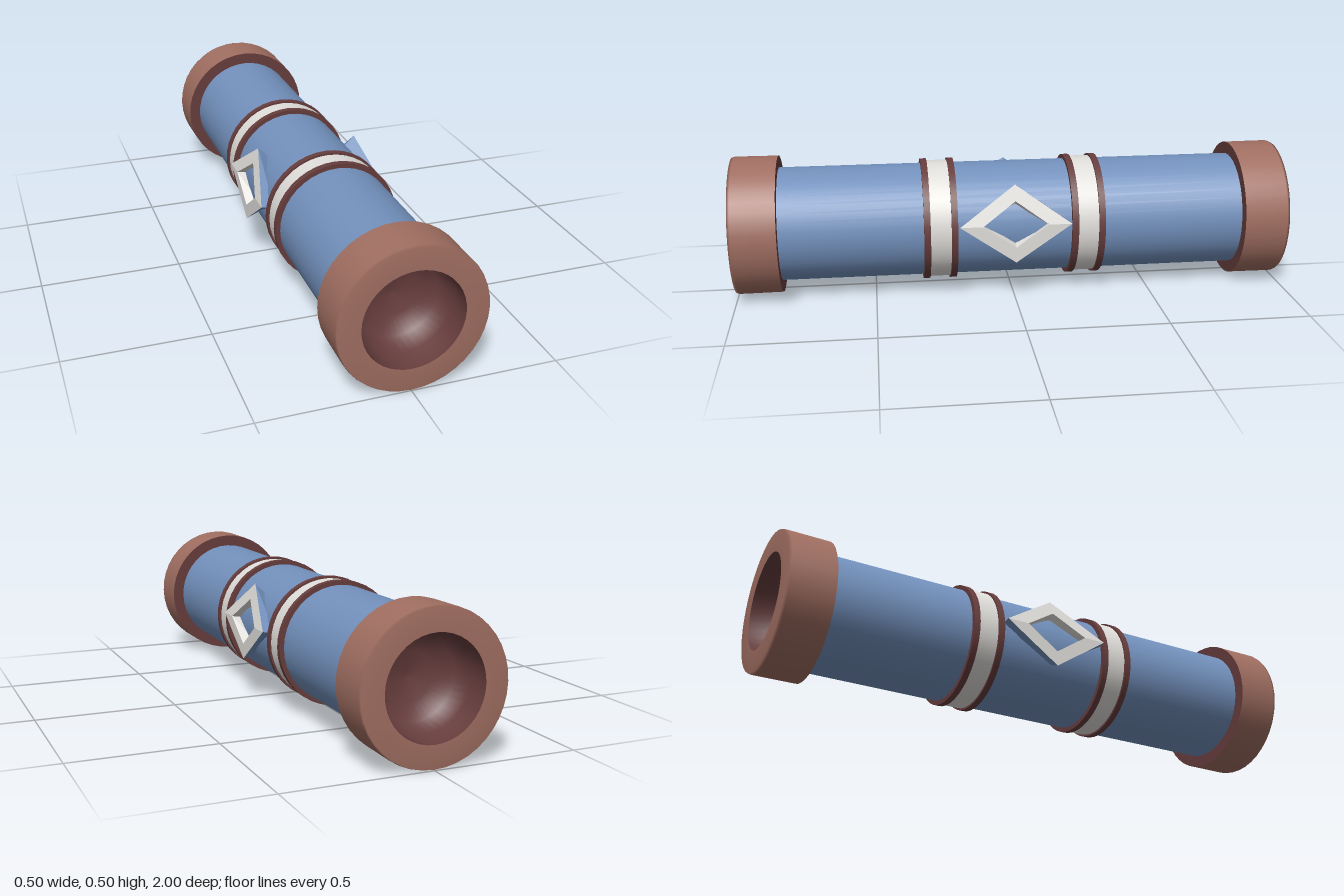
import * as THREE from 'three';

export function createModel() {
  const mat = (name, color, side = THREE.FrontSide) => {
    const m = new THREE.MeshStandardMaterial({ color, side });
    m.name = name;
    return m;
  };
  const blue = mat('steel blue', 0x7391bd);
  const brown = mat('clay brown', 0xa06e61);
  const darkRed = mat('dark red', 0x673d3d);
  const white = mat('off white', 0xe0deda);

  const model = new THREE.Group();
  model.name = 'pipe';
  const AXIS = 0.25;

  // Surface turned around the z axis; points are [radius, z]
  const turned = (name, points, material, parent) => {
    const g = new THREE.LatheGeometry(points.map(p => new THREE.Vector2(...p)), 40);
    g.rotateX(Math.PI / 2);
    const m = new THREE.Mesh(g, material);
    m.name = name;
    m.position.y = AXIS;
    parent.add(m);
  };

  turned('tube', [[0.206, -0.84], [0.206, 0.84]], blue, model);

  // Each half: end cap with a hollow mouth, and a trimmed band
  for (const [label, turn] of [['front', 0], ['back', Math.PI]]) {
    const half = new THREE.Group();
    half.name = label + 'Half';
    half.rotation.y = turn;
    model.add(half);
    turned('capBody', [[0.249, 0.835], [0.25, 0.99], [0.247, 1], [0.17, 1]], brown, half);
    turned('capInnerFace', [[0.2, 0.835], [0.249, 0.835]], darkRed, half);
    turned('mouth', [[0.17, 1], [0.165, 0.92], [0.14, 0.86], [0.08, 0.83], [0, 0.82]], darkRed, half);
    turned('whiteBand', [[0.215, 0.215], [0.215, 0.315]], white, half);
    for (const z of [0.205, 0.302]) {
      turned('bandTrim', [[0.2, z], [0.222, z], [0.222, z], [0.222, z + 0.023],
        [0.222, z + 0.023], [0.2, z + 0.023]], darkRed, half);
    }
  }

  // Diamond badge, bent at mid height to follow the tube
  const MID = 0.285;
  const onFront = (y, z) =>
    new THREE.Vector3(y > MID ? 0.235 - 0.05 * (y - MID) / 0.14 : 0.235, y, z);
  const diamond = (w, h) => [onFront(MID, -w), onFront(MID + h, 0), onFront(MID, w), onFront(MID - h, 0)];
  const toBack = p => new THREE.Vector3(p.x * 0.8, AXIS + (p.y - AXIS) * 0.8, p.z);
  const quads = list => {
    const pos = [];
    for (const [a, b, c, d] of list) for (const p of [a, b, c, a, c, d]) pos.push(p.x, p.y, p.z);
    const g = new THREE.BufferGeometry();
    g.setAttribute('position', new THREE.Float32BufferAttribute(pos, 3));
    g.computeVertexNormals();
    return g;
  };
  const outer = diamond(0.2, 0.138), inner = diamond(0.118, 0.082);
  const frame = [], sides = [];
  for (let i = 0; i < 4; i++) {
    const j = (i + 1) % 4;
    frame.push([outer[i], outer[j], inner[j], inner[i]]);
    frame.push([inner[i], inner[j], toBack(inner[j]), toBack(inner[i])]);
    sides.push([outer[j], outer[i], toBack(outer[i]), toBack(outer[j])]);
    sides.push([outer[j], outer[i], inner[i], inner[j]].map(toBack));
  }
  for (const [label, turn] of [['left', 0], ['right', Math.PI]]) {
    const badge = new THREE.Group();
    badge.name = label + 'Badge';
    badge.rotation.y = turn;
    const front = new THREE.Mesh(quads(frame), white);
    front.name = 'badgeFrame';
    const rim = new THREE.Mesh(quads(sides), blue);
    rim.name = 'badgeSides';
    badge.add(front, rim);
    model.add(badge);
  }
  return model;
}
